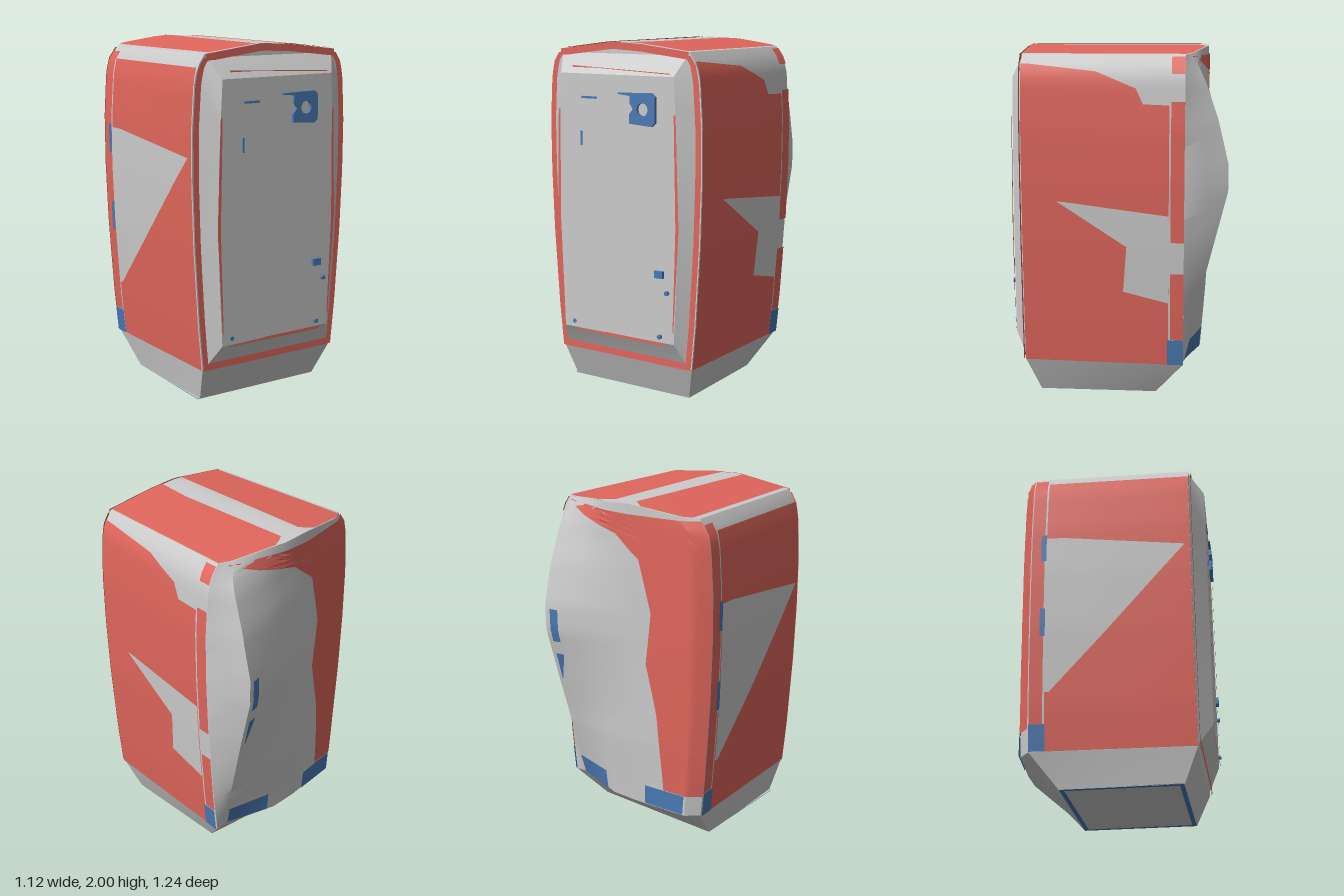
import * as THREE from 'three';
import { toCreasedNormals } from 'three/addons/utils/BufferGeometryUtils.js';

const paint = (color) => new THREE.MeshStandardMaterial({ color, side: THREE.DoubleSide });

// Piecewise linear lookup in a list of [position, value]
function poly(table, p) {
  if (p <= table[0][0]) return table[0][1];
  for (let i = 1; i < table.length; i++) {
    const [a, u] = table[i - 1], [b, v] = table[i];
    if (p <= b) return u + (v - u) * (p - a) / (b - a);
  }
  return table[table.length - 1][1];
}
const lerp = THREE.MathUtils.lerp;

// Barrel half-width, depth of the rear left ridge, roof height
const width = (y) => poly([[0.2, 0.485], [0.45, 0.51], [0.9, 0.54], [1.25, 0.552], [1.55, 0.552], [1.8, 0.535], [1.88, 0.515], [1.95, 0.465]], y);
const ridge = (y) => poly([[0.2, -0.37], [1.2, -0.62], [1.35, -0.62], [1.6, -0.56], [1.8, -0.49], [1.95, -0.42]], y);
const roofY = (t) => poly([[-1, 1.95], [-0.15, 1.996], [0.3, 1.985], [1, 1.95]], t);
const taper = (z) => Math.min(1, 1 - 0.08 * (z + 0.38) / 0.91);
const FRONT = 0.53;
const frontX = (y) => width(y) * taper(FRONT);

function backZ(t, y) {
  const r = ridge(y), mid = poly([[0.2, -0.47], [0.6, -0.5]], y);
  return poly([[-1, -0.38], [-0.85, -0.44], [-0.15, mid], [0.2, r < mid ? lerp(mid, r, 0.36) : mid], [0.84, r], [1, -0.38]], t);
}

// Surface maps: (u, v, lift) to a point just above the body
const side = (s) => (z, y, o) => [s * (width(y) * taper(z) + o), y, z];
const back = (t, y, o) => [t * (width(y) + o), y, backZ(t, y) - o];
const front = (x, y, o) => [x, y, FRONT + o];
const roof = (t, k, o) => {
  const z = lerp(FRONT, backZ(t, 1.95), k);
  return [t * width(1.95) * taper(z), roofY(t) + o, z];
};

// Indexed mesh through rows of equally many points
function loft(rings, closed) {
  const n = rings[0].length, index = [];
  for (let i = 0; i < rings.length - 1; i++) {
    for (let j = 0; j < (closed ? n : n - 1); j++) {
      const a = i * n + j, b = i * n + (j + 1) % n;
      index.push(a, b, b + n, a, b + n, a + n);
    }
  }
  const g = new THREE.BufferGeometry();
  g.setAttribute('position', new THREE.Float32BufferAttribute(rings.flat(2), 3));
  g.setIndex(index);
  g.computeVertexNormals();
  return toCreasedNormals(g, 0.45);
}

// Sheet that hugs a surface; each row is [v, uStart, uEnd]
function sheet(rows, map, lift) {
  const rings = [];
  for (let i = 0; i < rows.length - 1; i++) {
    const [a, b] = [rows[i], rows[i + 1]];
    const steps = Math.max(1, Math.ceil(Math.abs(b[0] - a[0]) / 0.05));
    for (let k = i ? 1 : 0; k <= steps; k++) {
      const [v, u0, u1] = a.map((q, j) => lerp(q, b[j], k / steps));
      rings.push(Array.from({ length: 21 }, (_, j) => map(lerp(u0, u1, j / 20), v, lift)));
    }
  }
  return loft(rings, false);
}

export function createModel() {
  const group = new THREE.Group();
  const grey = paint(0xcccccc), red = paint(0xe0665c), blue = paint(0x4a7ab5);
  const add = (name, geometry, material) => {
    const m = new THREE.Mesh(geometry, material);
    m.name = name;
    group.add(m);
    return m;
  };

  // Barrel body with a rear ridge
  const backT = [1, 0.92, 0.84, 0.5, 0.2, -0.15, -0.5, -0.85, -1];
  const rings = [];
  for (let i = 0; i <= 35; i++) {
    const y = 0.2 + i * 0.05, top = i === 35;
    const fx = frontX(y);
    rings.push([
      ...[-1, -0.15, 0.3, 1].map((t) => [t * fx, top ? roofY(t) : y, FRONT]),
      side(1)(0.08, y, 0),
      ...backT.map((t) => [t * width(y), top ? roofY(t) : y, backZ(t, y)]),
      side(-1)(0.08, y, 0),
    ]);
  }
  add('body', loft(rings, true), grey);
  add('roof', sheet([[0, -1, 1], [1, -1, 1]], roof, 0), grey);

  // Tapered plinth with a rimmed floor
  const foot = rings[0].map(([x, , z]) => [
    THREE.MathUtils.clamp(x * 0.93, -0.43, 0.38), 0, THREE.MathUtils.clamp(z, -0.22, 0.45)]);
  add('plinth', loft([foot, rings[0]], true), grey);
  const rect = (C, x0, x1, y0, y1) => {
    const s = new C();
    s.moveTo(x0, y0); s.lineTo(x1, y0); s.lineTo(x1, y1); s.lineTo(x0, y1); s.closePath();
    return s;
  };
  const floor = add('floor', new THREE.ShapeGeometry(rect(THREE.Shape, -0.43, 0.38, -0.22, 0.45)), grey);
  const rimShape = rect(THREE.Shape, -0.43, 0.38, -0.22, 0.45);
  rimShape.holes.push(rect(THREE.Path, -0.405, 0.355, -0.195, 0.425));
  const rim = add('floorRim', new THREE.ShapeGeometry(rimShape), blue);
  for (const m of [floor, rim]) m.rotation.x = Math.PI / 2;
  floor.position.y = 0.004;

  // Raised front panel
  const outer = [], inner = [];
  for (const s of [-1, 1]) {
    for (let i = 0; i <= 12; i++) {
      const k = s > 0 ? i / 12 : 1 - i / 12, y = lerp(0.22, 1.93, k);
      outer.push([s * (frontX(y) - 0.025), y, FRONT + 0.002]);
      const x = s * (0.37 + 0.025 * Math.sin(Math.PI * k));
      inner.push([x, lerp(0.35, 1.82, k), 0.605 - 0.025 * x]);
    }
  }
  add('frontPanel', loft([outer, inner, inner.map(() => [0, 1.08, 0.605])], true), grey);

  // Red edging around the front
  for (const s of [-1, 1]) {
    const edge = (u, y, o) => front(s * (frontX(y) - u), y, o);
    add('frontSideEdge', sheet([[0.2, 0, 0.035], [1.93, 0, 0.035]], edge, 0.012), red);
    add('panelSideStrip', sheet([[0.42, 0.366, 0.372], [1, 0.385, 0.405], [1.62, 0.374, 0.386]],
      (x, y) => [s * x, y, 0.612 - s * 0.01], 0), red);
  }
  add('frontBottomEdge', sheet([[0.2, -0.44, 0.42], [0.24, -0.44, 0.42]], front, 0.016), red);
  add('frontTopEdge', sheet([[0, -1, 1], [0.04, -1, 1]],
    (t, d, o) => [t * frontX(1.95), roofY(t) - d, FRONT + o], 0.012), red);
  add('panelTopStrip', sheet([[0, -0.31, 0.34], [0.03, -0.28, 0.37]],
    (x, d) => [x, 1.85 - 0.04 * x - d, 0.59], 0), red);
  add('panelBottomStrip', sheet([[0.335, -0.31, 0.3], [0.352, -0.3, 0.33]], (x, y) => [x, y, 0.607], 0), red);

  // Red side skins with a seam near the rear
  add('leftSkin', sheet([[0.2, -0.295, FRONT], [1.68, -0.295, FRONT], [1.685, -0.15, FRONT],
    [1.77, -0.11, FRONT], [1.86, 0.11, FRONT], [1.9, 0.5, FRONT]], side(1), 0.006), red);
  add('rightSkin', sheet([[0.2, -0.295, FRONT], [1.88, -0.295, FRONT]], side(-1), 0.006), red);
  for (const [s, y0, y1] of [[1, 0.35, 0.74], [1, 0.92, 1.7], [1, 1.85, 1.94], [-1, 0.35, 1.92]]) {
    add('rearSideStrip', sheet([[y0, -0.38, -0.305], [y1, -0.38, -0.305]], side(s), 0.006), red);
  }

  // Bare patches on the side skins
  add('leftBarePatch', sheet([[1.14, 0.3, 0.33], [1.07, -0.295, 0.22], [0.89, -0.295, -0.06],
    [0.63, -0.295, -0.04], [0.57, -0.295, -0.29]], side(1), 0.01), grey);
  add('rightBarePatch', sheet([[1.48, -0.295, -0.2], [1.4, -0.295, 0.5], [0.88, -0.295, 0.05],
    [0.53, -0.295, -0.27]], side(-1), 0.01), grey);

  // Red skin on the back and the roof
  add('backSkin', sheet([[0.33, -1, -0.55], [0.8, -1, -0.45], [1.1, -1, -0.32], [1.4, -1, -0.38],
    [1.7, -1, -0.25], [1.82, -1, 0.03], [1.88, -1, 0.5], [1.94, -1, 0.9]], back, 0.006), red);
  add('roofRightSkin', sheet([[0, -0.94, -0.24], [0.94, -0.94, -0.17], [1, -0.94, -0.32]], roof, 0.004), red);
  add('roofLeftSkin', sheet([[0, 0.1, 0.99], [0.22, 0.15, 0.99], [0.94, 0.13, 0.99], [1, 0.32, 0.99]], roof, 0.004), red);

  // Blue corner guards and rear fittings
  for (const s of [-1, 1]) {
    add('cornerGuard', sheet([[0.2, -0.38, -0.29], [0.35, -0.38, -0.29]], side(s), 0.01), blue);
    add('rearGuard', sheet([[0.21, s * 0.3, s * 0.82], [0.33, s * 0.3, s * 0.82]], back, 0.01), blue);
  }
  for (const [y0, y1] of [[1.33, 1.5], [0.86, 1.03]]) {
    add('rightHinge', sheet([[y0, -0.325, -0.295], [y1, -0.325, -0.295]], side(-1), 0.012), blue);
  }
  add('rearLabel', sheet([[1.13, 0.69, 0.78], [1.33, 0.69, 0.78]], back, 0.004), blue);
  add('rearLowerLabel', sheet([[0.88, 0.77, 0.78], [1.05, 0.68, 0.78]], back, 0.004), blue);

  // Blue lock plate with a hexagonal hole
  const plate = new THREE.Shape([[0.095, 1.56], [0.24, 1.55], [0.262, 1.57], [0.262, 1.71], [0.24, 1.73],
    [0.02, 1.725], [0.02, 1.718], [0.1, 1.71], [0.1, 1.67], [0.12, 1.64], [0.095, 1.61]]
    .map(([x, y]) => new THREE.Vector2(x, y)));
  const hole = new THREE.Path();
  hole.absarc(0.182, 1.64, 0.036, 0, Math.PI * 2, true);
  plate.holes.push(hole);
  add('lockPlate', new THREE.ExtrudeGeometry(plate, { depth: 0.02, bevelEnabled: false, curveSegments: 6 }), blue)
    .position.z = 0.597;

  // Small blue front fittings
  for (const [x, y, w, h] of [[0.28, 0.74, 0.055, 0.04], [-0.18, 1.69, 0.1, 0.012], [-0.235, 1.46, 0.012, 0.08]]) {
    add('frontTab', new THREE.BoxGeometry(w, h, 0.02), blue).position.set(x, y, 0.605);
  }
  for (const [x, y] of [[0.33, 0.64], [-0.305, 0.385], [0.283, 0.385]]) {
    const stud = add('frontStud', new THREE.CylinderGeometry(0.013, 0.013, 0.02, 8), blue);
    stud.rotation.x = Math.PI / 2;
    stud.position.set(x, y, 0.605);
  }
  return group;
}
